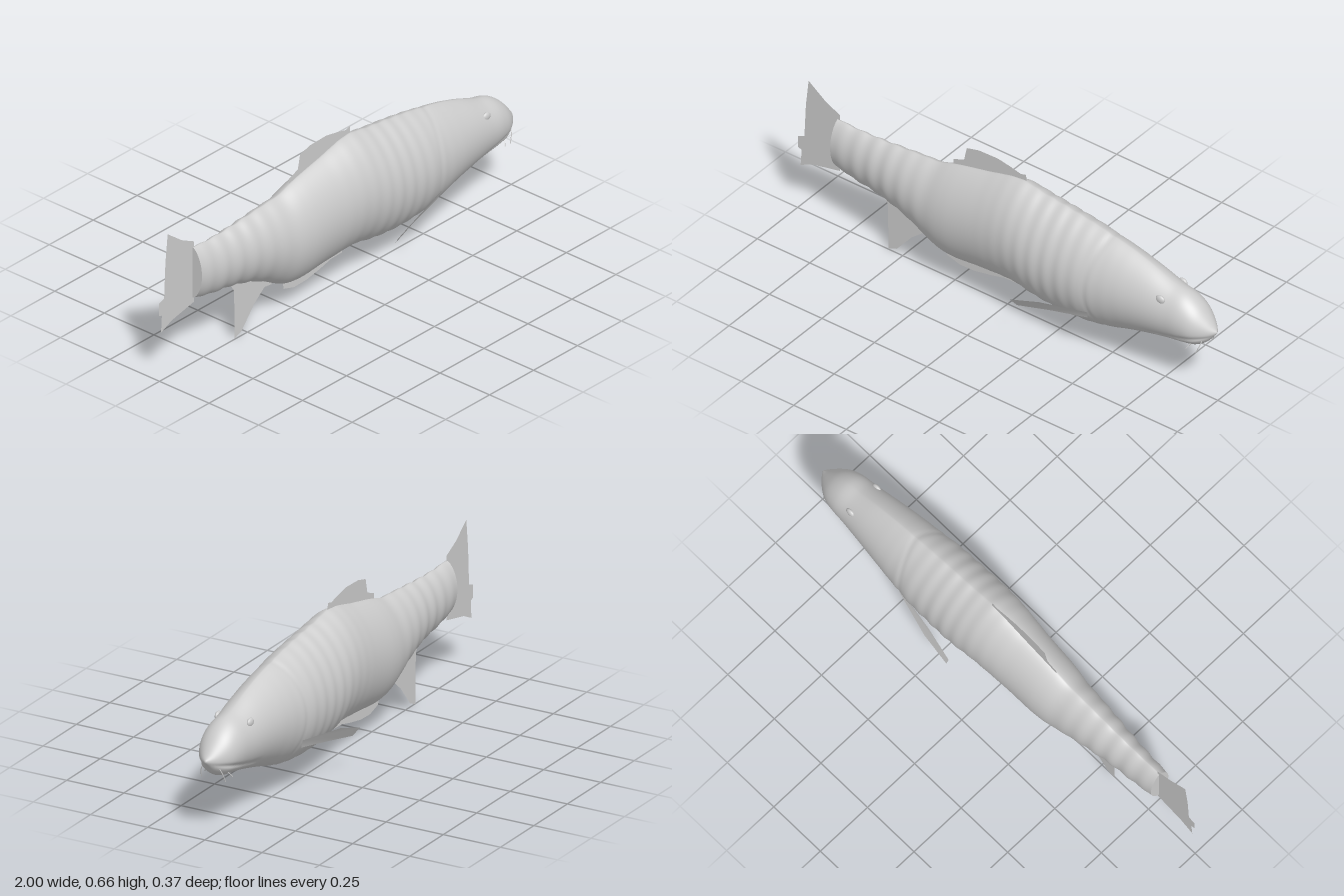
import * as THREE from 'three';

const skin = new THREE.MeshStandardMaterial({ color: 0xcccccc });
skin.name = 'pale grey skin';
const finSkin = new THREE.MeshStandardMaterial({ color: 0xcccccc, side: THREE.DoubleSide });
finSkin.name = 'pale grey fin';

// Body stations from tail to snout: x, top, bottom, half width
const stations = [
  [-0.81, 0.505, 0.285, 0.047], [-0.72, 0.5, 0.265, 0.055], [-0.6, 0.503, 0.248, 0.066],
  [-0.5, 0.51, 0.222, 0.079], [-0.4, 0.518, 0.18, 0.092], [-0.32, 0.525, 0.137, 0.102],
  [-0.26, 0.545, 0.122, 0.112], [-0.1, 0.583, 0.132, 0.122], [0.07, 0.619, 0.14, 0.137],
  [0.18, 0.603, 0.122, 0.144], [0.3, 0.588, 0.112, 0.143], [0.42, 0.57, 0.118, 0.139],
  [0.5, 0.555, 0.132, 0.13], [0.6, 0.533, 0.162, 0.119], [0.7, 0.502, 0.19, 0.106],
  [0.8, 0.463, 0.215, 0.093], [0.87, 0.442, 0.228, 0.086], [0.92, 0.408, 0.24, 0.072],
  [0.96, 0.365, 0.268, 0.045], [0.985, 0.335, 0.3, 0.02], [0.995, 0.325, 0.312, 0.006],
];
const profile = new THREE.CubicInterpolant(
  stations.map(s => s[0]), stations.flatMap(s => s.slice(1)), 3, new Float32Array(3));

const bump = (v, centre, width) => Math.exp(-(((v - centre) / width) ** 2));

// Point on the body skin at station x and angle t (0 = left flank, PI / 2 = back)
function bodyPoint(x, t) {
  const [top, bottom, wide] = profile.evaluate(x);
  const head = THREE.MathUtils.smoothstep(x, 0.6, 0.92);
  // Soft folds around the shoulders and the tail, and a gill groove
  const folds = bump(x, 0.26, 0.2) * Math.sin(x * 95) * 0.002
    + bump(x, -0.6, 0.22) * Math.sin(x * 80) * 0.0025;
  const gill = bump(x, 0.5 - 0.04 * Math.cos(t) ** 2, 0.012) * 0.003;
  const swell = folds - gill;
  const y = (top + bottom) / 2 + ((top - bottom) / 2 + swell) * Math.sin(t);
  // Lens-shaped section, turning rounder towards the head
  const c = Math.cos(t);
  let z = (wide + swell) * Math.abs(c) ** (1.4 - 0.35 * head);
  // Mouth groove
  const mouthY = 0.24 + 0.06 * THREE.MathUtils.smoothstep(x, 0.7, 1);
  z *= 1 - 0.1 * THREE.MathUtils.smoothstep(x, 0.68, 0.76) * bump(y, mouthY, 0.008);
  return [x, y, Math.sign(c) * z];
}

function makeBody() {
  const rings = 200, sides = 80, position = [], index = [];
  for (let i = 0; i <= rings; i++) {
    const x = THREE.MathUtils.lerp(-0.81, 0.995, i / rings);
    for (let j = 0; j < sides; j++) position.push(...bodyPoint(x, (j / sides) * Math.PI * 2));
  }
  for (let i = 0; i < rings; i++) for (let j = 0; j < sides; j++) {
    const a = i * sides + j, b = i * sides + (j + 1) % sides;
    index.push(a, a + sides, b, b, a + sides, b + sides);
  }
  // Tail stump cap with its own vertices, then the snout tip
  const cap = position.length / 3;
  position.push(...position.slice(0, sides * 3), -0.81, 0.395, 0, 0.999, 0.319, 0);
  for (let j = 0; j < sides; j++) {
    const k = (j + 1) % sides;
    index.push(cap + j, cap + k, cap + sides);
    index.push(rings * sides + j, cap + sides + 1, rings * sides + k);
  }
  const g = new THREE.BufferGeometry();
  g.setAttribute('position', new THREE.Float32BufferAttribute(position, 3));
  g.setIndex(index);
  g.computeVertexNormals();
  return g;
}

// Flat fins in the middle plane, as outlines in x and y
const fins = {
  tailFin: [[-0.8, 0.525], [-0.87, 0.56], [-0.95, 0.62], [-0.963, 0.5], [-0.97, 0.35], [-1, 0.338],
    [-1, 0.285], [-0.983, 0.28], [-0.988, 0.207], [-0.93, 0.235], [-0.8, 0.263]],
  dorsalFin: [[-0.26, 0.53], [-0.26, 0.565], [-0.21, 0.585], [-0.197, 0.645], [-0.14, 0.66],
    [-0.05, 0.663], [0.01, 0.652], [0.06, 0.64], [0.085, 0.647], [0.09, 0.6], [-0.1, 0.56]],
  ventralFin: [[-0.3, 0.15], [-0.29, 0.1], [-0.23, 0.082], [-0.16, 0.084], [-0.08, 0.1],
    [-0.02, 0.115], [0.04, 0.117], [0.04, 0.16]],
  analFin: [[-0.6, 0.26], [-0.572, 0.21], [-0.57, 0.003], [-0.53, 0.02], [-0.46, 0.105],
    [-0.4, 0.155], [-0.36, 0.15], [-0.36, 0.18], [-0.45, 0.22]],
};

function makePectoral(s) {
  const outline = [[0.47, 0.246, 0.118], [0.46, 0.21, 0.105], [0.3, 0.185, 0.128],
    [0.165, 0.165, 0.157], [0.15, 0.2, 0.183], [0.28, 0.24, 0.172]];
  const g = new THREE.BufferGeometry();
  g.setAttribute('position', new THREE.Float32BufferAttribute(
    outline.flatMap(([x, y, z]) => [x, y, z * s]), 3));
  const fan = [];
  for (let i = 1; i < 5; i++) fan.push(0, s > 0 ? i + 1 : i, s > 0 ? i : i + 1);
  g.setIndex(fan);
  g.computeVertexNormals();
  return g;
}

export function createModel() {
  const fish = new THREE.Group();
  fish.name = 'fish';
  const add = (name, geometry, material = skin) => {
    const mesh = new THREE.Mesh(geometry, material);
    mesh.name = name;
    fish.add(mesh);
    return mesh;
  };

  add('body', makeBody());
  for (const [name, outline] of Object.entries(fins)) {
    const shape = new THREE.Shape(outline.map(p => new THREE.Vector2(...p)));
    add(name, new THREE.ShapeGeometry(shape), finSkin).position.z = -0.003;
  }

  // Paired parts, s = 1 on the +z side and -1 on the other
  for (const s of [1, -1]) {
    const side = s > 0 ? 'near' : 'far';
    add(side + 'PectoralFin', makePectoral(s), finSkin);

    const [x, y, z] = bodyPoint(0.78, 0.65);
    const eye = add(side + 'Eye', new THREE.SphereGeometry(0.021, 20, 14));
    eye.position.set(x, y, s * (z - 0.003));
    eye.scale.set(1, 0.85, 0.5);

    // Two thin barbels hanging beside the mouth
    for (const k of [0, 1]) {
      const path = new THREE.CatmullRomCurve3([
        new THREE.Vector3(0.955 - k * 0.03, 0.302 - k * 0.01, s * (0.024 + k * 0.005)),
        new THREE.Vector3(0.95 - k * 0.035, 0.268, s * (0.045 - k * 0.003)),
        new THREE.Vector3(0.935 - k * 0.04, 0.228 + k * 0.008, s * (0.053 + k * 0.008)),
      ]);
      add(side + 'Barbel' + (k + 1), new THREE.TubeGeometry(path, 10, 0.0018, 6));
    }
  }
  return fish;
}
